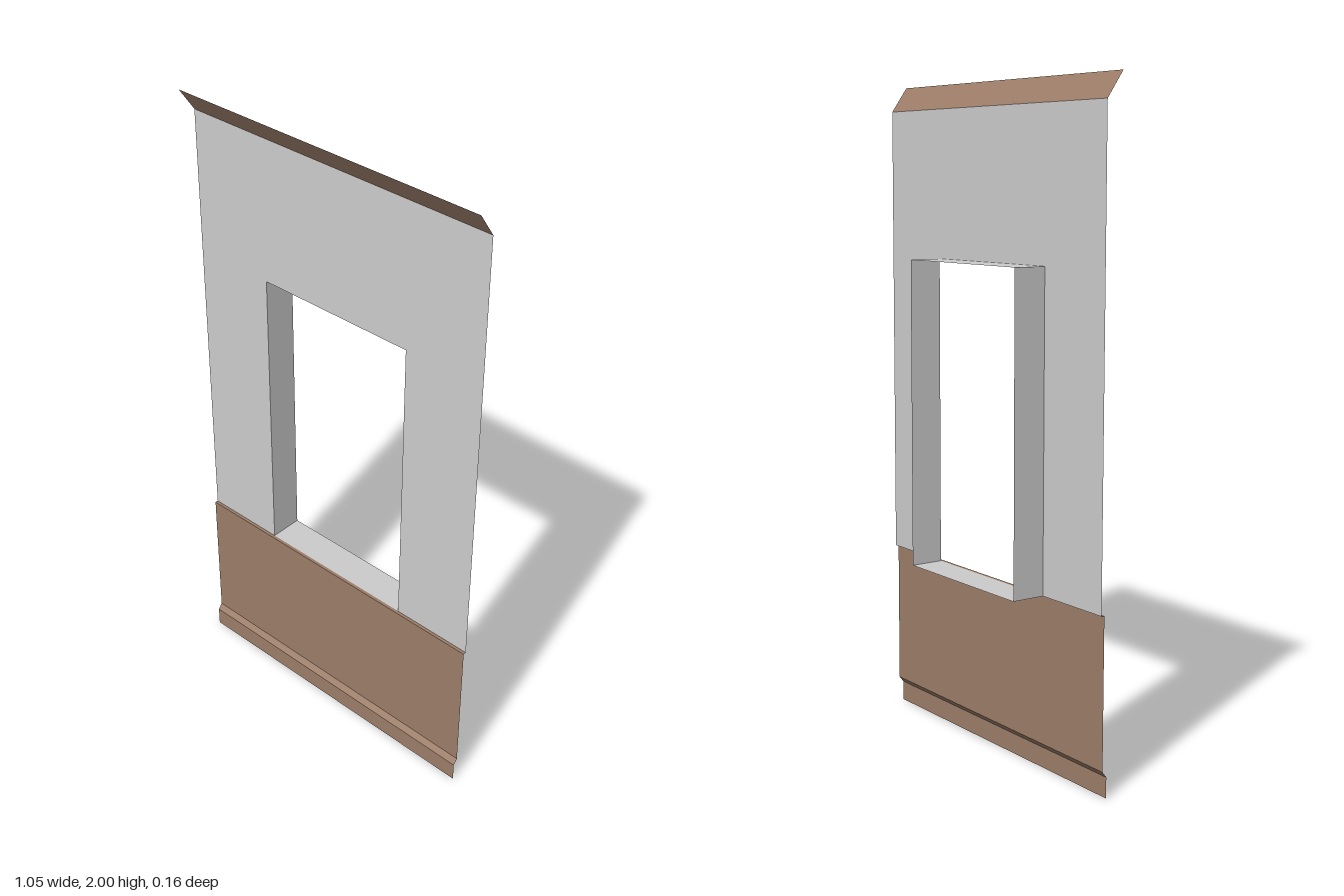
import * as THREE from 'three';

const HALF_W = 0.527;   // half width of the wall panel
const WALL_Z = 0.026;   // plane of the plaster sheet
const BACK_Z = -0.079;  // rear edge of the window reveal
const SILL_Y = 0.53, HEAD_Y = 1.476, WALL_TOP = 1.925, WIN = 0.263;

// Open sheet swept across the full width along a [y, z] profile, with sharp folds
function sweptSheet(profile) {
  const pos = [];
  for (let i = 0; i < profile.length - 1; i++) {
    const [y0, z0] = profile[i], [y1, z1] = profile[i + 1];
    const a = [-HALF_W, y0, z0], b = [HALF_W, y0, z0];
    const c = [HALF_W, y1, z1], d = [-HALF_W, y1, z1];
    pos.push(...a, ...b, ...c, ...a, ...c, ...d);
  }
  const g = new THREE.BufferGeometry();
  g.setAttribute('position', new THREE.Float32BufferAttribute(pos, 3));
  g.computeVertexNormals();
  return g;
}

export function createModel() {
  const plaster = new THREE.MeshStandardMaterial({ color: 0xcccccc, side: THREE.DoubleSide });
  plaster.name = 'plaster grey';
  const wood = new THREE.MeshStandardMaterial({ color: 0x9c7d68, side: THREE.DoubleSide });
  wood.name = 'wood brown';

  const model = new THREE.Group();
  model.name = 'windowWall';
  const add = (parent, name, geometry, material) => {
    const mesh = new THREE.Mesh(geometry, material);
    mesh.name = name;
    parent.add(mesh);
    return mesh;
  };

  // Plaster sheet wrapped round the window, open at the sill
  const outline = new THREE.Shape([
    [-HALF_W, SILL_Y], [-WIN, SILL_Y], [-WIN, HEAD_Y], [WIN, HEAD_Y],
    [WIN, SILL_Y], [HALF_W, SILL_Y], [HALF_W, WALL_TOP], [-HALF_W, WALL_TOP],
  ].map(([x, y]) => new THREE.Vector2(x, y)));
  add(model, 'plasterWall', new THREE.ShapeGeometry(outline), plaster).position.z = WALL_Z;

  // Window reveal: four thin faces running back from the wall
  const reveal = new THREE.Group();
  reveal.name = 'windowReveal';
  model.add(reveal);
  const depth = WALL_Z - BACK_Z, midZ = (WALL_Z + BACK_Z) / 2;
  for (const [name, x] of [['leftJamb', WIN], ['rightJamb', -WIN]]) {
    const jamb = add(reveal, name, new THREE.PlaneGeometry(depth, HEAD_Y - SILL_Y), plaster);
    jamb.rotation.y = x > 0 ? -Math.PI / 2 : Math.PI / 2;
    jamb.position.set(x, (HEAD_Y + SILL_Y) / 2, midZ);
  }
  for (const [name, y] of [['windowSill', SILL_Y], ['windowHead', HEAD_Y]]) {
    const face = add(reveal, name, new THREE.PlaneGeometry(WIN * 2, depth), plaster);
    face.rotation.x = y === SILL_Y ? -Math.PI / 2 : Math.PI / 2;
    face.position.set(0, y, midZ);
  }

  // Wainscot with its narrow top ledge, then the bevelled skirting below
  const panelZ = 0.036, skirtZ = 0.05;
  add(model, 'wainscot', sweptSheet([[0.08, panelZ], [SILL_Y, panelZ], [SILL_Y, WALL_Z]]), wood);
  add(model, 'skirting', sweptSheet([[0, skirtZ], [0.062, skirtZ], [0.08, panelZ]]), wood);

  // Cornice strip leaning forward at the top
  add(model, 'cornice', sweptSheet([[WALL_TOP, WALL_Z], [2, 0.079]]), wood);

  return model;
}
